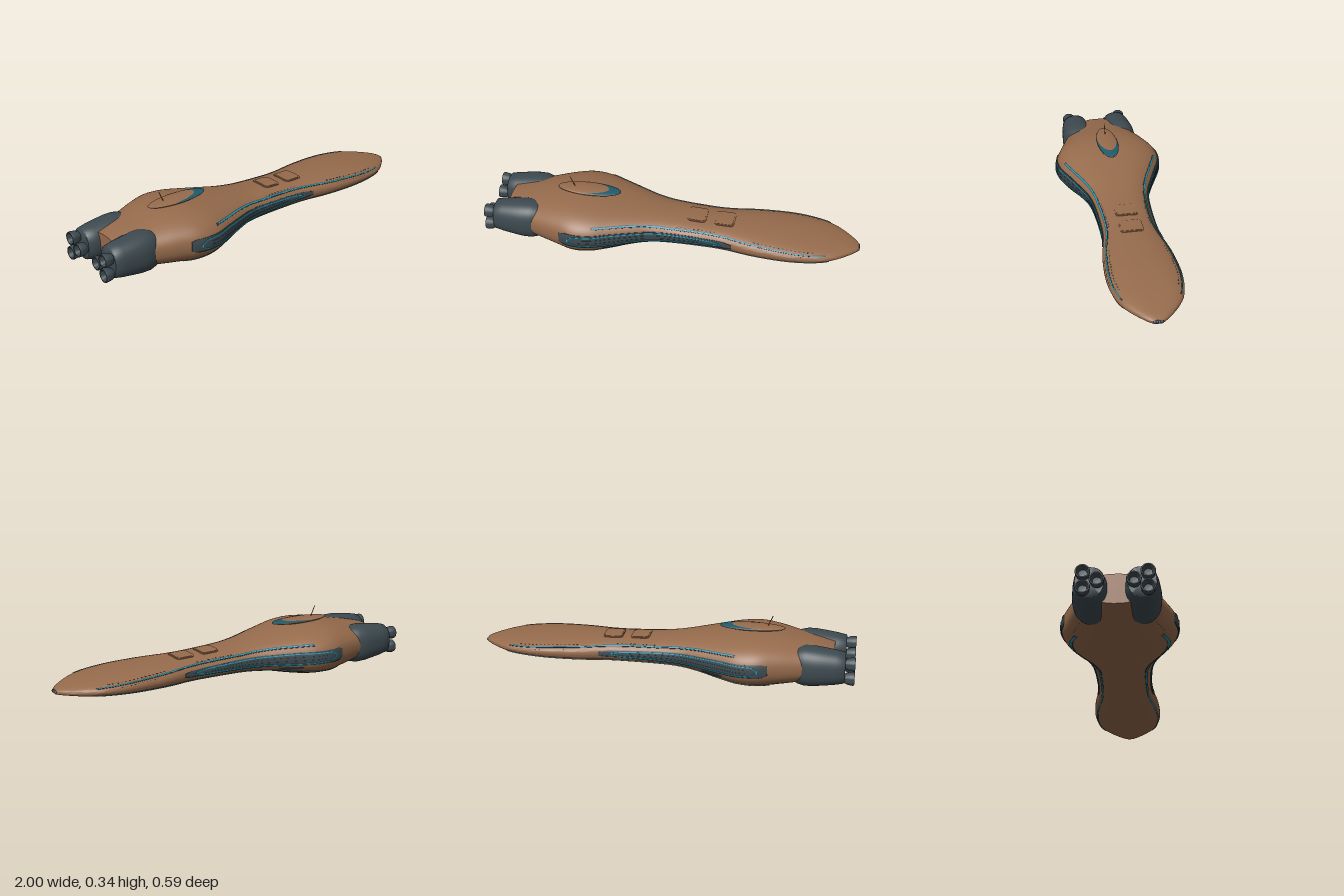
import * as THREE from 'three';
import { toCreasedNormals } from 'three/addons/utils/BufferGeometryUtils.js';
import { ParametricGeometry } from 'three/addons/geometries/ParametricGeometry.js';

const material = (name, color) => {
  const m = new THREE.MeshStandardMaterial({ color, side: THREE.DoubleSide });
  m.name = name;
  return m;
};

// Hull stations: x, half width, top, bottom
const HULL = [
  [-0.89, 0.13, 0.205, 0.05], [-0.8, 0.18, 0.225, 0.034], [-0.72, 0.21, 0.24, 0.024],
  [-0.6, 0.255, 0.264, 0.01], [-0.5, 0.288, 0.272, 0.002], [-0.4, 0.283, 0.265, 0.008],
  [-0.3, 0.245, 0.251, 0.024], [-0.2, 0.203, 0.235, 0.045], [-0.1, 0.166, 0.219, 0.057],
  [0, 0.15, 0.206, 0.062], [0.2, 0.143, 0.195, 0.063], [0.3, 0.149, 0.192, 0.064],
  [0.45, 0.176, 0.189, 0.066], [0.6, 0.188, 0.184, 0.07], [0.7, 0.185, 0.177, 0.076],
  [0.8, 0.167, 0.166, 0.084], [0.86, 0.142, 0.157, 0.09], [0.92, 0.1, 0.146, 0.096],
  [0.97, 0.054, 0.135, 0.101], [0.99, 0.03, 0.127, 0.105],
];
const N = 2.4; // roundness of the hull section

// Interpolates a table of rows keyed by their first column
function sample(rows, x, col, smooth = false) {
  let i = 0;
  while (i < rows.length - 2 && x > rows[i + 1][0]) i++;
  const [a, b] = [rows[i], rows[i + 1]];
  const w = b[0] - a[0], t = THREE.MathUtils.clamp((x - a[0]) / w, 0, 1);
  if (!smooth) return a[col] + (b[col] - a[col]) * t;
  const slope = (k) => {
    const p = rows[Math.max(k - 1, 0)], q = rows[Math.min(k + 1, rows.length - 1)];
    return (q[col] - p[col]) / (q[0] - p[0]);
  };
  const t2 = t * t, t3 = t2 * t;
  return a[col] * (2 * t3 - 3 * t2 + 1) + b[col] * (3 * t2 - 2 * t3)
    + w * (slope(i) * (t3 - 2 * t2 + t) + slope(i + 1) * (t3 - t2));
}

const power = (v, e) => Math.sign(v) * Math.abs(v) ** e;
const section = (x) => {
  const [hw, top, bot] = [1, 2, 3].map((c) => sample(HULL, x, c, true));
  return { hw, c: (top + bot) / 2, h: (top - bot) / 2 };
};
// Point on the hull at station x and section angle t, pushed out by off
function onHull(x, t, off = 0) {
  const { hw, c, h } = section(x);
  const z = power(Math.cos(t), 2 / N), y = power(Math.sin(t), 2 / N);
  const nz = power(z, N - 1) / hw, ny = power(y, N - 1) / h, l = Math.hypot(nz, ny);
  return new THREE.Vector3(x, c + h * y + off * ny / l, hw * z + off * nz / l);
}
const angleAtY = (x, y) => {
  const { c, h } = section(x);
  return Math.asin(power(THREE.MathUtils.clamp((y - c) / h, -1, 1), N / 2));
};
const angleAtZ = (x, z) => Math.acos(power(z / section(x).hw, N / 2));

// Skins closed rings running along +x and caps both ends
function loft(rings, mirror = false) {
  const n = rings[0].length, pos = [], index = [];
  const tri = (a, b, c) => (mirror ? index.push(a, c, b) : index.push(a, b, c));
  const add = (p) => pos.push(p.x, p.y, mirror ? -p.z : p.z);
  rings.forEach((r) => r.forEach(add));
  for (let i = 0; i < rings.length - 1; i++) for (let j = 0; j < n; j++) {
    const k = (j + 1) % n, a = i * n, b = a + n;
    tri(a + j, b + j, b + k);
    tri(a + j, b + k, a + k);
  }
  [0, rings.length - 1].forEach((i) => {
    const mid = pos.length / 3;
    add(rings[i].reduce((s, p) => s.add(p), new THREE.Vector3()).divideScalar(n));
    for (let j = 0; j < n; j++) {
      const a = i * n + j, b = i * n + (j + 1) % n;
      i ? tri(mid, b, a) : tri(mid, a, b);
    }
  });
  const g = new THREE.BufferGeometry();
  g.setAttribute('position', new THREE.Float32BufferAttribute(pos, 3));
  g.setIndex(index);
  return toCreasedNormals(g, 0.7);
}

// Thin plate following the hull between angles lo(x) and hi(x)
function plate(x0, x1, lo, hi, off, steps = 40, mirror = false) {
  const rings = [];
  const ring = (x, o) => {
    const a = lo(x), b = hi(x), r = [onHull(x, a, -0.002)];
    for (let k = 0; k <= 6; k++) r.push(onHull(x, a + (b - a) * k / 6, o));
    r.push(onHull(x, b, -0.002));
    return r;
  };
  rings.push(ring(x0, -0.002));
  for (let i = 0; i <= steps; i++) rings.push(ring(x0 + (x1 - x0) * i / steps, off));
  rings.push(ring(x1, -0.002));
  return loft(rings, mirror);
}

export function createModel() {
  const brown = material('hull bronze', 0x966b4c);
  const slate = material('engine slate', 0x3d4a50);
  const cyan = material('glowing cyan', 0x1a9dba);
  const glass = material('teal glass', 0x205b6b);
  const model = new THREE.Group();
  const add = (name, geo, mat, parent = model) => {
    const m = new THREE.Mesh(geo, mat);
    m.name = name;
    parent.add(m);
    return m;
  };

  // Main hull
  const hullRings = [];
  for (let i = 0; i <= 100; i++) {
    const x = -0.89 + 1.88 * i / 100;
    hullRings.push(Array.from({ length: 64 }, (_, j) => onHull(x, j * Math.PI / 32)));
  }
  add('hull', loft(hullRings), brown);

  // Side panel and glow loop edges: x, low, high; stripes: x, centre height
  const PANEL = [[-0.56, 0.118, 0.168], [-0.53, 0.108, 0.177], [-0.3, 0.106, 0.174],
    [0, 0.108, 0.16], [0.3, 0.115, 0.146], [0.34, 0.12, 0.14]];
  const LOOP = [[-0.51, 0.134, 0.148], [-0.48, 0.116, 0.167], [-0.3, 0.111, 0.168],
    [0, 0.113, 0.154], [0.22, 0.118, 0.144], [0.28, 0.126, 0.135]];
  const UPPER = [[-0.38, 0.206], [-0.2, 0.197], [0, 0.178], [0.3, 0.167], [0.6, 0.156], [0.83, 0.143]];
  const LOWER = [[-0.56, 0.045], [-0.4, 0.052], [-0.2, 0.073], [0, 0.085], [0.4, 0.092], [0.85, 0.11]];

  for (const side of [1, -1]) {
    const flip = side < 0, label = flip ? 'right' : 'left';
    const band = (name, x0, x1, y0, y1, off, mat, steps = 40) => add(`${label} ${name}`,
      plate(x0, x1, (x) => angleAtY(x, y0(x)), (x) => angleAtY(x, y1(x)), off, steps, flip), mat);
    const low = (x) => sample(PANEL, x, 1), high = (x) => sample(PANEL, x, 2);
    const inLow = (x) => sample(LOOP, x, 1), inHigh = (x) => sample(LOOP, x, 2);

    // Side panel with raised rims, glowing loop and inner ribs
    band('side panel', -0.56, 0.34, low, high, 0.0035, slate, 60);
    band('panel upper rim', -0.54, 0.34, (x) => high(x) - 0.003, high, 0.005, slate);
    band('panel lower rim', -0.54, 0.34, low, (x) => low(x) + 0.003, 0.005, slate);
    band('glow loop top', -0.51, 0.28, (x) => inHigh(x) - 0.004, inHigh, 0.0065, cyan, 60);
    band('glow loop bottom', -0.51, 0.28, inLow, (x) => inLow(x) + 0.004, 0.0065, cyan, 60);
    band('glow loop end', -0.512, -0.505, inLow, inHigh, 0.0065, cyan, 2);
    for (const f of [0.33, 0.67]) {
      const mid = (x) => inLow(x) + (inHigh(x) - inLow(x)) * f;
      band('panel rib', -0.45, 0.18, (x) => mid(x) - 0.0015, (x) => mid(x) + 0.0015, 0.005, slate);
    }

    // Long thin glowing stripes in raised channels
    for (const [name, path] of [['upper stripe', UPPER], ['lower stripe', LOWER]]) {
      const x0 = path[0][0], x1 = path[path.length - 1][0];
      const mid = (x) => sample(path, x, 1);
      const half = (x) => 0.005 - 0.003 * (x - x0) / (x1 - x0);
      band(`${name} channel`, x0 - 0.01, x1, (x) => mid(x) - half(x), (x) => mid(x) + half(x), 0.0025, slate, 60);
      band(name, x0, x1 - 0.01, (x) => mid(x) - half(x) * 0.4, (x) => mid(x) + half(x) * 0.4, 0.0035, cyan, 60);
    }

    // Oval vent under the panel
    const bulge = (x) => 0.009 * Math.sqrt(Math.max(0, 1 - ((x + 0.27) / 0.06) ** 2));
    band('oval vent', -0.329, -0.211, (x) => 0.087 - bulge(x), (x) => 0.087 + bulge(x), 0.002, slate, 20);

    // Rows of tiny ports
    for (const [path, x0, count, dy] of [[UPPER, 0.04, 10, 0.007], [UPPER, 0.45, 15, 0.008],
      [UPPER, 0.5, 10, -0.01], [LOWER, -0.68, 5, 0.012]]) {
      for (let i = 0; i < count; i++) {
        const x = x0 + i * 0.022, y = sample(path, x, 1) + dy;
        band('port', x, x + 0.009, () => y - 0.001, () => y + 0.001, 0.001, slate, 1);
      }
    }

    // Engine pod
    const POD = [[-0.95, 0.066, 0.075], [-0.945, 0.071, 0.081], [-0.9, 0.079, 0.09], [-0.84, 0.086, 0.098],
      [-0.79, 0.09, 0.104], [-0.745, 0.088, 0.105], [-0.71, 0.076, 0.097], [-0.64, 0.05, 0.06]];
    const podRings = POD.map(([x, rz, ry]) => Array.from({ length: 40 }, (_, j) => {
      const t = j * Math.PI / 20;
      return new THREE.Vector3(x, 0.13 + ry * power(Math.sin(t), 2 / N), 0.122 + rz * power(Math.cos(t), 2 / N));
    }));
    add(`${label} engine pod`, loft(podRings, flip), slate);

    // Three flared nozzles per pod: two outboard, one inboard
    const profile = [[0.023, 0], [0.025, 0.014], [0.032, 0.028], [0.036, 0.056], [0.034, 0.064],
      [0.029, 0.064], [0.02, 0.035], [0, 0.032]];
    const bell = new THREE.LatheGeometry(profile.map((p) => new THREE.Vector2(...p)), 24);
    for (const [y, z] of [[0.083, 0.15], [0.163, 0.15], [0.123, 0.085]]) {
      const nozzle = add(`${label} nozzle`, toCreasedNormals(bell, 0.7), slate);
      nozzle.rotation.z = Math.PI / 2;
      nozzle.position.set(-0.936, y, z * side);
    }
  }

  // Two raised deck hatches with rounded corners
  for (const [x0, x1] of [[0.085, 0.185], [0.23, 0.335]]) {
    const hatch = (name, inset, off) => {
      const [a, b, r] = [x0 + inset, x1 - inset, 0.02];
      const halfZ = (x) => {
        const d = Math.max(0, r - Math.min(x - a, b - x));
        return 0.06 - inset - r + Math.sqrt(Math.max(0, r * r - d * d));
      };
      add(name, plate(a, b, (x) => angleAtZ(x, halfZ(x)), (x) => Math.PI - angleAtZ(x, halfZ(x)), off, 30), brown);
    };
    hatch('hatch frame', 0, 0.004);
    hatch('hatch cover', 0.006, 0.006);
  }

  // Bridge saucer with a crescent window
  const bridge = new THREE.Group();
  bridge.name = 'bridge';
  bridge.position.set(-0.4575, 0.278, 0);
  model.add(bridge);
  add('bridge dome', new THREE.SphereGeometry(1, 48, 24), brown, bridge).scale.set(0.172, 0.013, 0.057);
  add('bridge window', new ParametricGeometry((u, v, p) => {
    const s = 2 * u - 1, a = s * 1.83;
    const r = 0.99 - 0.37 * (1 - s * s) * (1 - v);
    p.set(0.174 * r * Math.cos(a), 0.013 * Math.sqrt(1 - r * r) + 0.001, 0.058 * r * Math.sin(a));
  }, 48, 8), glass, bridge);

  // Leaning antenna with a glowing tip
  const antenna = add('antenna', new THREE.CylinderGeometry(0.002, 0.0025, 0.062, 8), brown);
  antenna.position.set(-0.549, 0.312, 0);
  antenna.rotation.z = 0.42;
  add('antenna tip', new THREE.SphereGeometry(0.003, 12, 8), cyan).position.set(-0.562, 0.341, 0);

  // Nose sensor cluster
  for (const z of [-0.0165, -0.0055, 0.0055, 0.0165]) {
    const bulb = add('nose sensor', new THREE.SphereGeometry(0.0098, 16, 12), slate);
    bulb.position.set(0.988, 0.1155, z);
  }
  return model;
}
